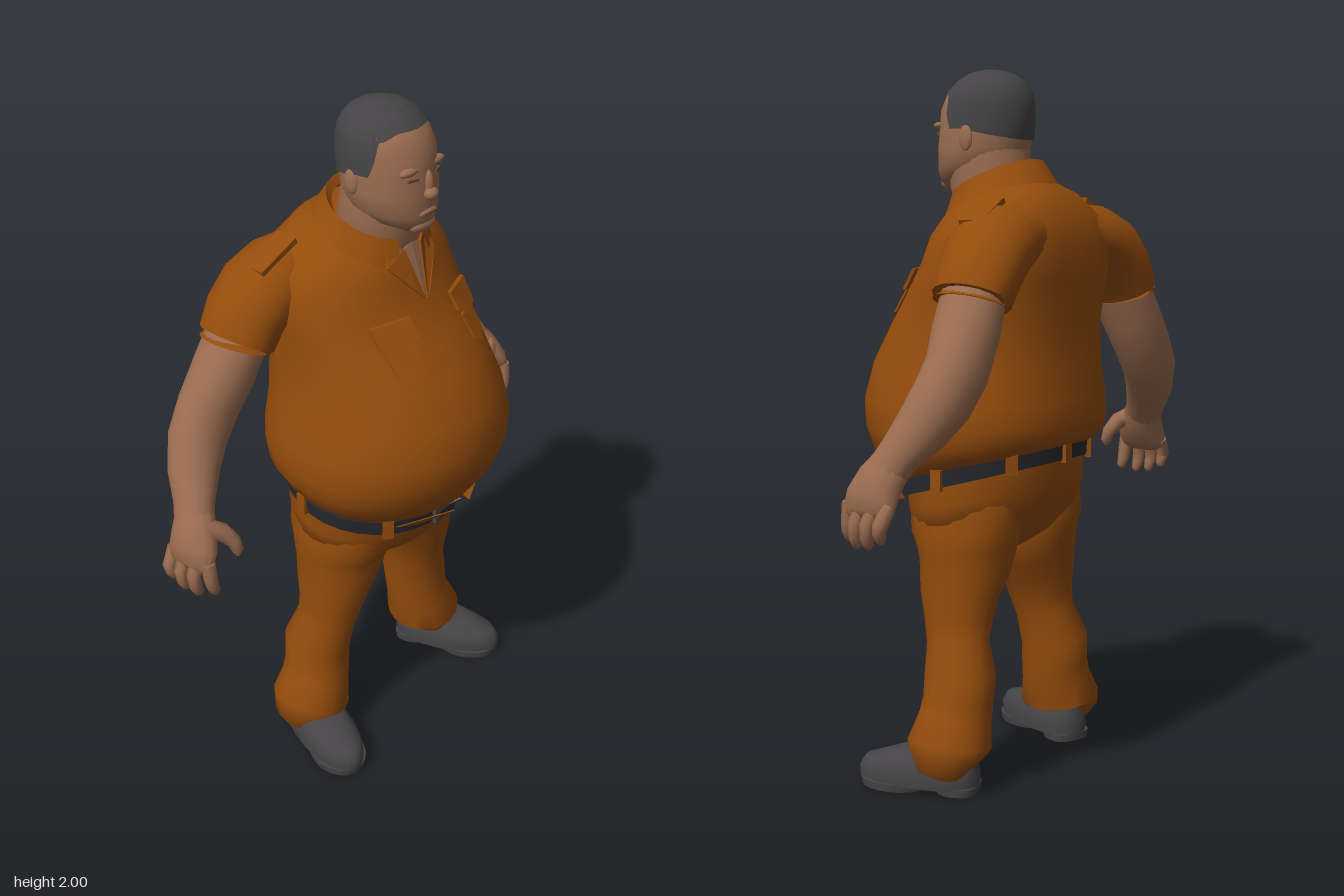
import * as THREE from 'three';
import { toCreasedNormals } from 'three/addons/utils/BufferGeometryUtils.js';

const mat = (name, color, side = THREE.FrontSide) => {
  const m = new THREE.MeshStandardMaterial({ color, side });
  m.name = name;
  return m;
};
const V = (x, y, z) => new THREE.Vector3(x, y, z);
const lerp = THREE.MathUtils.lerp;

// Skin a list of rings (arrays of points, bottom to top) with optional end caps
function skinRings(rings, closed = true, caps = true) {
  const n = rings[0].length, pos = [], idx = [];
  rings.flat().forEach(p => pos.push(p.x, p.y, p.z));
  for (let i = 0; i < rings.length - 1; i++)
    for (let j = 0; j < (closed ? n : n - 1); j++) {
      const a = i * n + j, b = i * n + (j + 1) % n, c = a + n, d = b + n;
      idx.push(a, c, b, b, c, d);
    }
  if (caps) [0, rings.length - 1].forEach(r => {
    const mid = rings[r].reduce((s, p) => s.add(p), V(0, 0, 0)).divideScalar(n);
    const k = pos.push(mid.x, mid.y, mid.z) / 3 - 1;
    for (let j = 0; j < n; j++) {
      const a = r * n + j, b = r * n + (j + 1) % n;
      if (r === 0) idx.push(k, a, b); else idx.push(k, b, a);
    }
  });
  const g = new THREE.BufferGeometry();
  g.setAttribute('position', new THREE.Float32BufferAttribute(pos, 3));
  g.setIndex(idx);
  return toCreasedNormals(g, 0.95);
}

// Point at an angle on a tilted oval [yFront, yBack, halfWidth, zFront, zBack, backSquareness]
function ovalPoint([yf, yb, rx, zf, zb, e = 1], a) {
  let s = Math.sin(a), c = Math.cos(a);
  if (s < 0) {
    s = -Math.pow(-s, e);
    c = Math.sign(c) * Math.pow(Math.abs(c), e);
  }
  return V(rx * c, lerp(yb, yf, (s + 1) / 2), (zf + zb) / 2 + (zf - zb) / 2 * s);
}
// Loft through oval sections; gap opens the ring at the front
function ovals(sections, n = 32, gap = 0, caps = true) {
  const rings = sections.map(s => Array.from({ length: gap ? n + 1 : n }, (_, j) =>
    ovalPoint(s, Math.PI / 2 + gap + j / n * (2 * Math.PI - 2 * gap))));
  return skinRings(rings, !gap, caps && !gap);
}

// Limb through points [x, y, z, radius sideways, radius in z]
function limb(path, side = 1, n = 14) {
  const pts = path.map(p => V(p[0] * side, p[1], p[2]));
  return skinRings(pts.map((p, i) => {
    const t = pts[Math.min(i + 1, pts.length - 1)].clone().sub(pts[Math.max(i - 1, 0)]).normalize();
    const u = t.clone().cross(V(0, 0, 1)).normalize(), v = u.clone().cross(t);
    return Array.from({ length: n }, (_, j) => {
      const a = j / n * Math.PI * 2;
      return p.clone().addScaledVector(u, path[i][3] * Math.cos(a)).addScaledVector(v, path[i][4] * Math.sin(a));
    });
  }));
}

const TORSO = [
  [.825, .955, .300, .205, -.265, .9], [.87, .97, .332, .262, -.295, .9], [.93, .99, .352, .305, -.318, .9],
  [1.0, 1.03, .36, .335, -.325, .88], [1.08, 1.09, .352, .345, -.322, .85], [1.18, 1.18, .325, .322, -.31, .82],
  [1.28, 1.30, .302, .265, -.305, .78], [1.38, 1.42, .30, .19, -.315, .72], [1.46, 1.52, .305, .13, -.32, .7],
  [1.53, 1.60, .28, .105, -.295, .75], [1.575, 1.665, .21, .092, -.25, .85], [1.61, 1.70, .14, .08, -.19],
];
const HEAD = [
  [1.665, 1.73, .06, .11, -.09], [1.685, 1.74, .10, .134, -.115], [1.72, 1.755, .12, .14, -.122],
  [1.78, 1.785, .126, .139, -.128], [1.84, 1.84, .124, .134, -.138], [1.89, 1.89, .122, .13, -.14],
  [1.935, 1.935, .113, .108, -.132], [1.967, 1.967, .088, .075, -.108], [1.987, 1.987, .055, .04, -.075],
  [1.993, 1.993, .02, 0, -.038],
];
const BELT = [
  [.79, .92, .292, .19, -.26], [.785, .92, .31, .206, -.276],
  [.83, .965, .315, .21, -.278], [.835, .965, .292, .19, -.26],
];

// Depth of the shirt front at x, y
function chestZ(x, y) {
  const p = TORSO.map(s => ovalPoint(s, Math.acos(Math.min(1, Math.abs(x) / s[2]))));
  let i = 0;
  while (i < p.length - 2 && p[i + 1].y < y) i++;
  return lerp(p[i].z, p[i + 1].z, (y - p[i].y) / (p[i + 1].y - p[i].y));
}
// Thin plate laid on the shirt front
function drape(points, depth, lift, side = 1) {
  const pts = points.map(p => new THREE.Vector2(p[0] * side, p[1]));
  const g = new THREE.ExtrudeGeometry(new THREE.Shape(pts), { depth, bevelEnabled: false });
  const p = g.attributes.position;
  for (let i = 0; i < p.count; i++) p.setZ(i, p.getZ(i) + lift + chestZ(p.getX(i), p.getY(i)));
  g.computeVertexNormals();
  return g;
}

// Hair follows the skull above a hairline that drops to sideburns and nape
function hairGeometry() {
  const n = 48, rows = 9;
  const rings = Array.from({ length: rows + 1 }, (_, r) => Array.from({ length: n }, (_, j) => {
    const a = j / n * Math.PI * 2, s = Math.sin(a);
    const low = 1.835 + Math.min(0, s) * .03 + .092 * THREE.MathUtils.smoothstep(s, .28, .5)
      + .02 * THREE.MathUtils.smoothstep(s, .5, .9);
    const y = lerp(low, 1.993, Math.sin(r / rows * Math.PI / 2));
    let i = 3;
    while (i < HEAD.length - 2 && HEAD[i + 1][0] < y) i++;
    const t = (y - HEAD[i][0]) / (HEAD[i + 1][0] - HEAD[i][0]);
    const p = ovalPoint(HEAD[i].map((v, k) => lerp(v, HEAD[i + 1][k], t)), a);
    return V(p.x * 1.04, y + .007 * r / rows, (p.z + .01) * 1.045 - .01);
  }));
  return skinRings(rings);
}

export function createModel() {
  const orange = mat('orange cloth', 0x944c0c, THREE.DoubleSide);
  const skin = mat('skin', 0x9a6c50);
  const shade = mat('dark skin', 0x6b4834);
  const hair = mat('dark hair', 0x454345);
  const shoeGrey = mat('shoe grey', 0x464446);
  const black = mat('belt black', 0x28292d);
  const metal = mat('buckle grey', 0x434449);

  const model = new THREE.Group();
  const add = (name, geo, material, pos, parent = model) => {
    const m = new THREE.Mesh(geo, material);
    m.name = name;
    if (pos) m.position.set(...pos);
    parent.add(m);
    return m;
  };
  const ball = (name, pos, scale) =>
    add(name, new THREE.SphereGeometry(1, 16, 12), skin, pos).scale.set(...scale);

  // Shirt, trousers seat and belt
  add('shirt', ovals(TORSO), orange);
  add('trouserSeat', ovals([[.64, .655, .07, .03, -.12], [.66, .70, .20, .085, -.18], [.695, .77, .288, .145, -.235],
    [.75, .85, .303, .178, -.262], [.83, .95, .298, .195, -.265]]), orange);
  add('belt', ovals(BELT, 32, 0, false), black);
  add('buckle', new THREE.BoxGeometry(.1, .045, .012), metal, [0, .809, .212]);
  add('buckleCentre', new THREE.BoxGeometry(.07, .022, .006), black, [0, .809, .218]);
  add('bellySkin', drape([[-.04, .832], [.04, .832], [0, .872]], .003, .004), skin);
  [.9, 2.24, -.1, 3.24, -.9, -2.24, -1.57].forEach(a => {
    const p = ovalPoint([.808, .942, .314, .211, -.28], a);
    add('beltLoop', new THREE.BoxGeometry(.032, .06, .014), orange, p.toArray())
      .rotation.y = Math.atan2(p.x / .31, (p.z + .035) / .25);
  });

  // Open neck, collar and neck
  add('neck', ovals([[1.5, 1.62, .09, .06, -.15], [1.6, 1.68, .112, .075, -.145],
    [1.67, 1.74, .118, .095, -.13], [1.74, 1.80, .115, .1, -.125]]), skin);
  add('chestSkin', drape([[0, 1.475], [.04, 1.61], [0, 1.625], [-.04, 1.61]], .003, .003), skin);
  add('collar', ovals([[1.575, 1.675, .178, .1, -.222], [1.61, 1.715, .152, .094, -.198],
    [1.645, 1.752, .134, .084, -.172], [1.62, 1.73, .122, .07, -.155]], 28, .38), orange);

  // Head, face and hair
  add('head', ovals(HEAD), skin);
  add('hair', hairGeometry(), hair);
  ball('noseBridge', [0, 1.80, .132], [.015, .042, .018]);
  ball('noseTip', [0, 1.78, .143], [.022, .018, .02]);
  ball('lips', [0, 1.726, .132], [.036, .014, .014]);
  ball('chin', [0, 1.688, .115], [.05, .022, .024]);
  add('mouthLine', new THREE.BoxGeometry(.054, .004, .006), shade, [0, 1.728, .144]);

  for (const side of [1, -1]) {
    // Face sides
    ball('ear', [.124 * side, 1.81, -.02], [.01, .036, .022]);
    ball('brow', [.05 * side, 1.848, .113], [.04, .012, .016]);
    add('eye', new THREE.BoxGeometry(.032, .007, .006), shade, [.05 * side, 1.826, .125]).rotation.y = .3 * side;

    // Shirt tail, lapel, chest pocket and shoulder strap
    add('shirtTail', drape([[.035, .85], [.1, .803], [.2, .85]], .005, .034, side), orange);
    add('lapel', drape([[.003, 1.472], [.03, 1.5], [.10, 1.58], [.085, 1.63], [.034, 1.615]], .006, .005, side), orange);
    add('pocket', drape([[.105, 1.39], [.11, 1.33], [.145, 1.31], [.185, 1.325], [.19, 1.39]], .008, .005, side), orange);
    add('pocketFlap', drape([[.09, 1.455], [.09, 1.41], [.14, 1.385], [.2, 1.39], [.205, 1.45]], .012, .012, side), orange);
    add('shoulderStrap', new THREE.BoxGeometry(.135, .016, .07), orange, [.267 * side, 1.61, -.18])
      .rotation.set(0, .1 * side, -.45 * side);

    // Sleeve and arm
    add('sleeve', limb([[.14, 1.54, -.19, .09, .11], [.22, 1.53, -.20, .1, .122], [.285, 1.497, -.21, .105, .124],
      [.335, 1.445, -.22, .1, .118], [.37, 1.385, -.222, .092, .114], [.376, 1.372, -.222, .088, .108],
      [.368, 1.39, -.222, .07, .08]], side, 20), orange);
    add('arm', limb([[.345, 1.43, -.22, .075, .09], [.415, 1.3, -.235, .088, .09], [.468, 1.21, -.247, .093, .08],
      [.525, 1.135, -.24, .087, .078], [.575, 1.065, -.212, .07, .072], [.615, 1.005, -.175, .052, .06],
      [.645, .955, -.15, .046, .058]], side, 18), skin);

    // Hand
    add('palm', limb([[.62, .995, -.168, .045, .054], [.65, .945, -.145, .05, .068], [.672, .90, -.132, .044, .08],
      [.686, .865, -.13, .031, .077], [.69, .85, -.13, .016, .06]], side), skin);
    for (let f = 0; f < 4; f++) {
      const z = -.068 - f * .042, drop = [.01, 0, .004, .022][f], x = [-.022, 0, .006, .008][f];
      add('finger', limb([[.682, .885, z, .02, .02], [.703 + x, .835, z + .005, .02, .02],
        [.701 + x, .80 + drop, z + .008, .018, .018], [.692 + x, .778 + drop, z + .01, .014, .013],
        [.688 + x, .769 + drop, z + .01, .005, .005]], side, 8), skin);
    }
    add('thumb', limb([[.645, .96, -.11, .03, .03], [.61, .942, -.08, .026, .026], [.588, .91, -.06, .021, .021],
      [.584, .88, -.052, .017, .017], [.587, .864, -.05, .006, .006]], side, 8), skin);

    // Trouser leg and shoe
    add('trouserLeg', limb([[.275, .085, -.085, .085, .085], [.283, .095, -.083, .108, .114], [.283, .13, -.078, .112, .122],
      [.257, .2, -.08, .1, .104], [.246, .25, -.082, .094, .102], [.24, .32, -.085, .095, .104],
      [.22, .41, -.062, .08, .092], [.207, .47, -.055, .09, .1], [.197, .54, -.05, .103, .115],
      [.172, .61, -.05, .127, .13], [.162, .66, -.05, .138, .14], [.157, .72, -.045, .138, .165],
      [.155, .80, -.04, .13, .17]], side, 20), orange);
    const shoe = new THREE.Group();
    shoe.name = 'shoe';
    shoe.position.set(.31 * side, 0, 0);
    shoe.rotation.y = .33 * side;
    model.add(shoe);
    add('shoeUpper', ovals([[.018, .018, .081, .182, -.17, .8], [.05, .05, .084, .184, -.17, .8],
      [.078, .078, .078, .165, -.165, .8], [.10, .105, .068, .1, -.158], [.125, .14, .058, .02, -.15]], 24), shoeGrey, null, shoe);
    add('soleFront', ovals([[0, 0, .078, .176, -.03], [.022, .022, .081, .18, -.04]], 20), shoeGrey, null, shoe);
    add('heel', ovals([[0, 0, .066, -.045, -.168, .7], [.022, .022, .068, -.04, -.17, .7]], 16), shoeGrey, null, shoe);
  }
  return model;
}
